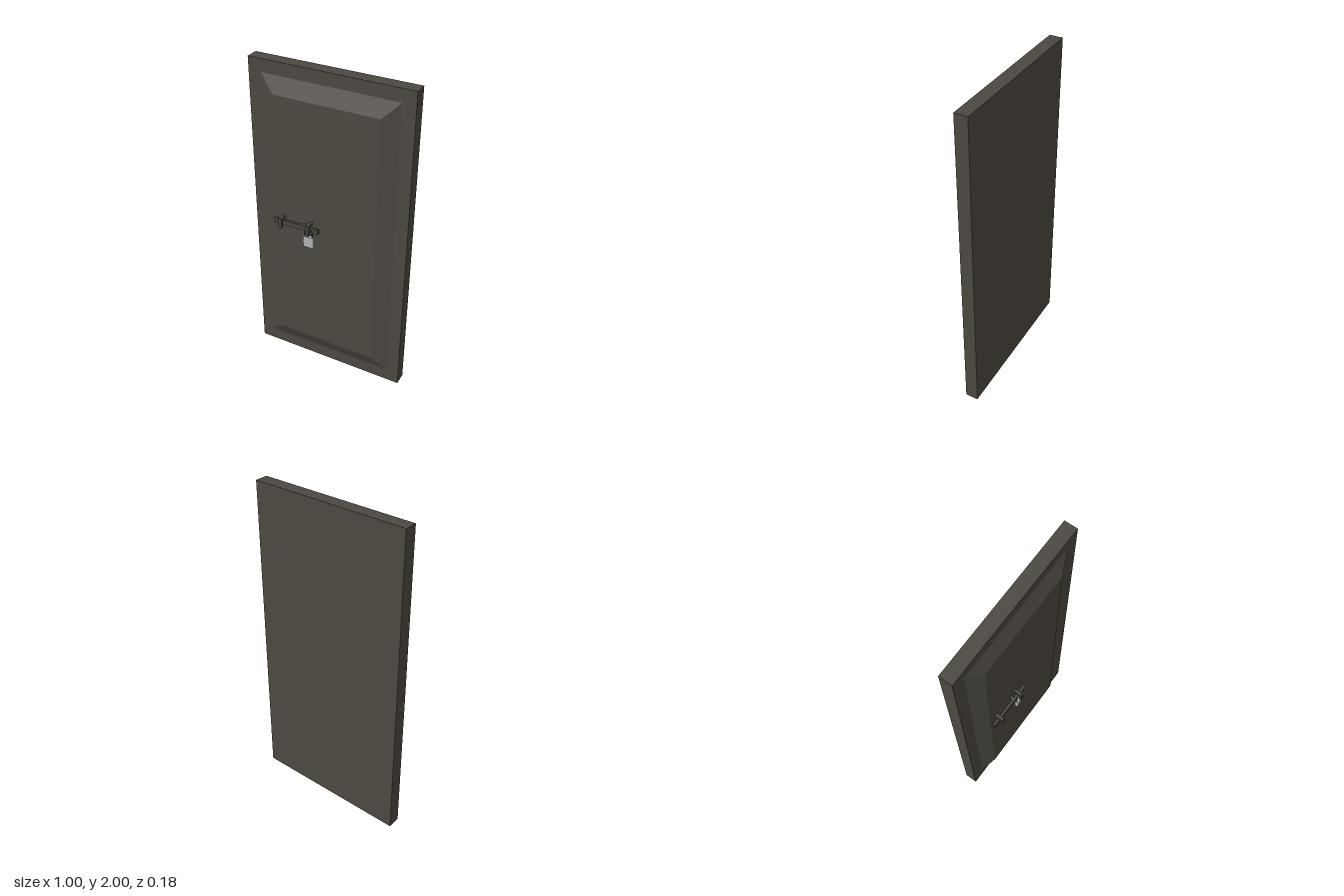
import * as THREE from 'three';

export function createModel() {
  const model = new THREE.Group();
  model.name = 'boltedDoor';
  const darkMetal = new THREE.MeshStandardMaterial({ color: 0x4c4841 });
  darkMetal.name = 'dark brown metal';
  const steel = new THREE.MeshStandardMaterial({ color: 0xb6b6b8 });
  steel.name = 'light steel';

  const add = (name, geometry, material, parent = model) => {
    const mesh = new THREE.Mesh(geometry, material);
    mesh.name = name;
    parent.add(mesh);
    return mesh;
  };
  // Box given by its limits on each axis
  const box = (name, [x0, x1], [y0, y1], [z0, z1], parent = model) => {
    const mesh = add(name, new THREE.BoxGeometry(x1 - x0, y1 - y0, z1 - z0), darkMetal, parent);
    mesh.position.set((x0 + x1) / 2, (y0 + y1) / 2, (z0 + z1) / 2);
    return mesh;
  };

  // Door slab
  box('doorSlab', [-0.5, 0.5], [0, 2], [-0.09, -0.01]);

  // Raised panel: a box whose front face is drawn in to make the bevels
  const panel = new THREE.BoxGeometry(0.84, 1.84, 0.043);
  const p = panel.attributes.position;
  for (let i = 0; i < p.count; i++) {
    if (p.getZ(i) > 0) {
      p.setX(i, Math.sign(p.getX(i)) * 0.325);
      p.setY(i, Math.sign(p.getY(i)) * 0.825);
    }
  }
  panel.computeVertexNormals();
  add('raisedPanel', panel, darkMetal).position.set(0, 1.002, 0.0115);

  // Sliding bolt and the stub that ties it to the door
  box('slidingBolt', [-0.33, -0.03], [1.02, 1.05], [0.053, 0.068]);
  box('boltStub', [-0.143, -0.125], [1.022, 1.048], [0.033, 0.055]);

  // Guides hooked over the bolt
  for (const x of [-0.275, -0.092]) {
    const guide = new THREE.Group();
    guide.name = 'boltGuide';
    const width = [x - 0.01, x + 0.01];
    box('guideTop', width, [1.055, 1.07], [0.033, 0.088], guide);
    box('guideFront', width, [1.0, 1.055], [0.073, 0.088], guide);
    model.add(guide);
  }

  // Padlock body with rounded sides, narrowing towards its foot
  const padlock = new THREE.Group();
  padlock.name = 'padlock';
  padlock.position.set(-0.093, 0, 0.067);
  const outline = new THREE.Shape();
  const w = 0.034, d = 0.012, r = 0.008;
  outline.moveTo(-w + r, -d);
  outline.lineTo(w - r, -d);
  outline.quadraticCurveTo(w, -d, w, 0);
  outline.quadraticCurveTo(w, d, w - r, d);
  outline.lineTo(-w + r, d);
  outline.quadraticCurveTo(-w, d, -w, 0);
  outline.quadraticCurveTo(-w, -d, -w + r, -d);
  const body = new THREE.ExtrudeGeometry(outline, { depth: 0.075, bevelEnabled: false, curveSegments: 4 });
  body.rotateX(-Math.PI / 2);
  const b = body.attributes.position;
  for (let i = 0; i < b.count; i++) if (b.getY(i) < 0.01) b.setZ(i, b.getZ(i) * 0.75);
  body.computeVertexNormals();
  add('padlockBody', body, steel, padlock).position.y = 0.915;

  // Shackle
  const path = new THREE.CatmullRomCurve3([
    [-0.025, 0.985], [-0.025, 1.015], [-0.016, 1.035], [0, 1.042],
    [0.016, 1.035], [0.025, 1.015], [0.025, 0.985],
  ].map(([x, y]) => new THREE.Vector3(x, y, -0.001)));
  add('padlockShackle', new THREE.TubeGeometry(path, 20, 0.005, 8), darkMetal, padlock);
  model.add(padlock);

  return model;
}
